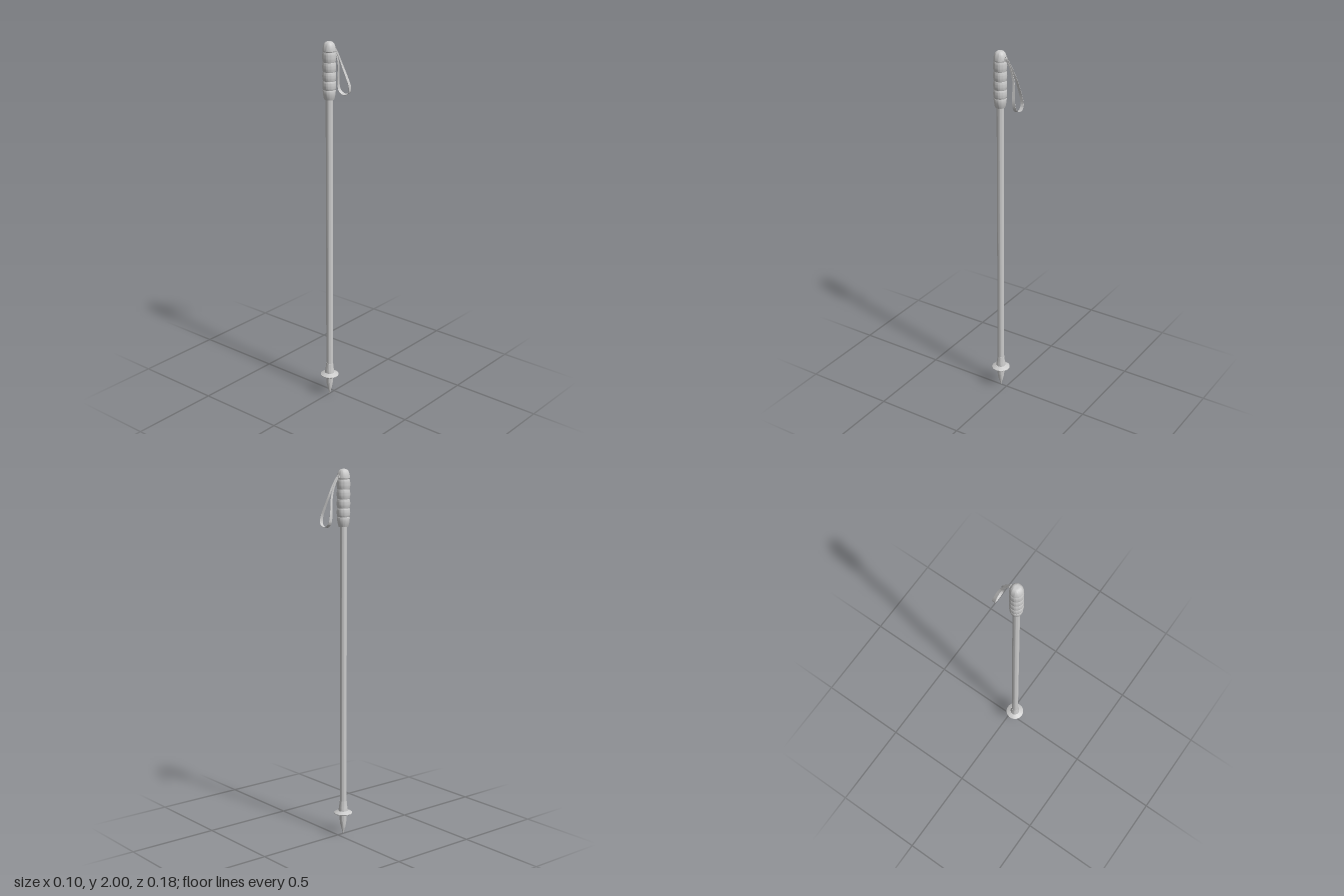
import * as THREE from 'three';
import { toCreasedNormals } from 'three/addons/utils/BufferGeometryUtils.js';

const AXIS_Z = 0.038;
const grey = () => new THREE.MeshStandardMaterial({ color: 0xcccccc, side: THREE.DoubleSide });

// Turned part from [radius, height] pairs, listed bottom to top
function turned(name, profile, sides = 32) {
  const pts = profile.map(([r, y]) => new THREE.Vector2(r, y));
  const mesh = new THREE.Mesh(toCreasedNormals(new THREE.LatheGeometry(pts, sides), 0.5), grey());
  mesh.name = name;
  mesh.position.z = AXIS_Z;
  return mesh;
}

// Grip outline: flared foot, rounded finger ridges, domed top
function gripProfile() {
  const p = [[0, 1.7], [0.025, 1.7], [0.028, 1.707], [0.0325, 1.73], [0.0335, 1.748]];
  const grooves = [1.752, 1.798, 1.845, 1.895, 1.948];
  for (let i = 0; i < grooves.length - 1; i++) {
    const a = grooves[i], b = grooves[i + 1];
    for (let k = 0; k < 8; k++) {
      const t = k / 8;
      p.push([0.0318 + 0.0038 * Math.sqrt(Math.sin(Math.PI * t)), a + (b - a) * t]);
    }
  }
  p.push([0.0318, 1.948], [0.0342, 1.953], [0.0335, 1.964], [0.030, 1.979],
    [0.025, 1.990], [0.018, 1.997], [0.009, 2], [0, 2]);
  return p;
}

// Closed flat band following a loop, wide across the loop's plane
function strapGeometry() {
  const loop = new THREE.CatmullRomCurve3([
    [0, 1.972, 0.012], [0.005, 1.957, -0.003], [0.007, 1.92, -0.026],
    [0.014, 1.86, -0.05], [0.033, 1.80, -0.063], [0.045, 1.755, -0.071],
    [0.04, 1.72, -0.077], [0.02, 1.706, -0.079], [-0.008, 1.706, -0.079],
    [-0.027, 1.725, -0.076], [-0.029, 1.765, -0.069], [-0.022, 1.81, -0.061],
    [-0.012, 1.86, -0.05], [-0.005, 1.92, -0.026], [-0.004, 1.957, -0.003],
  ].map((v) => new THREE.Vector3(...v)), true);
  const N = 120, pos = [], idx = [];
  for (let i = 0; i <= N; i++) {
    const c = loop.getPointAt((i % N) / N), t = loop.getTangentAt((i % N) / N);
    const down = THREE.MathUtils.clamp((1.97 - c.y) / 0.26, 0, 1);
    const slope = THREE.MathUtils.lerp(0.8, 0.2, Math.min(1, down * 1.6));
    const wide = new THREE.Vector3(0, -slope, 1).normalize();
    const thin = new THREE.Vector3().crossVectors(t, wide).normalize().multiplyScalar(0.0008);
    wide.multiplyScalar(0.004 + 0.006 * down);
    for (const [a, b] of [[1, 1], [-1, 1], [-1, -1], [1, -1]]) {
      const q = c.clone().addScaledVector(wide, a).addScaledVector(thin, b);
      pos.push(q.x, q.y, q.z);
    }
    if (i === N) break;
    for (let k = 0; k < 4; k++) {
      const a = i * 4 + k, b = i * 4 + (k + 1) % 4;
      idx.push(a, a + 4, b, b, a + 4, b + 4);
    }
  }
  const g = new THREE.BufferGeometry();
  g.setAttribute('position', new THREE.Float32BufferAttribute(pos, 3));
  g.setIndex(idx);
  return toCreasedNormals(g, 0.6);
}

export function createModel() {
  const group = new THREE.Group();
  group.name = 'walkingPole';

  group.add(turned('shaft', [[0, 0.15], [0.0185, 0.15], [0.0185, 1.71], [0, 1.71]]));
  group.add(turned('grip', gripProfile(), 40));

  // Flared collar above the basket
  group.add(turned('collar', [[0, 0.125], [0.0255, 0.125], [0.0255, 0.14], [0.023, 0.155],
    [0.0205, 0.18], [0.0195, 0.192], [0.0185, 0.192]]));

  // Shallow disc that stops the pole sinking
  group.add(turned('basket', [[0, 0.118], [0.046, 0.118], [0.05, 0.121], [0.05, 0.124],
    [0.046, 0.127], [0.034, 0.130], [0.026, 0.135], [0, 0.135]], 40));

  // Stepped, tapering ferrule and point
  group.add(turned('tip', [[0, 0], [0.002, 0.001], [0.006, 0.018], [0.0105, 0.036], [0.012, 0.036],
    [0.0145, 0.054], [0.016, 0.054], [0.0178, 0.075], [0.0188, 0.075], [0.0198, 0.12], [0, 0.12]]));

  const strap = new THREE.Mesh(strapGeometry(), grey());
  strap.name = 'wristStrap';
  group.add(strap);

  // Small anchor where the strap enters the grip
  const anchor = new THREE.Mesh(new THREE.BoxGeometry(0.018, 0.012, 0.012), grey());
  anchor.name = 'strapAnchor';
  anchor.position.set(0, 1.962, 0.007);
  group.add(anchor);

  return group;
}
